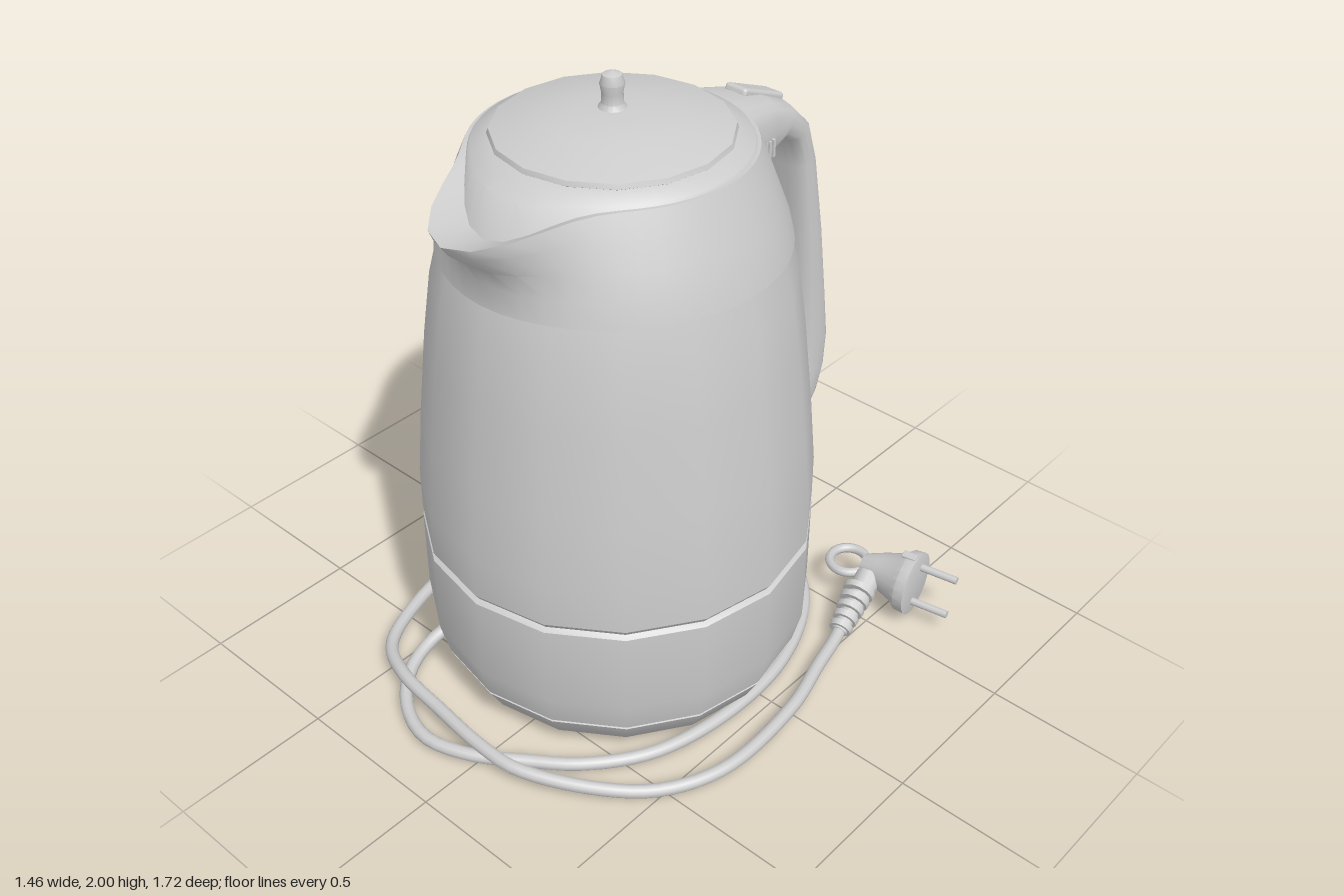
import * as THREE from 'three';
import { toCreasedNormals } from 'three/addons/utils/BufferGeometryUtils.js';
import { RoundedBoxGeometry } from 'three/addons/geometries/RoundedBoxGeometry.js';

const AX = -0.07, AZ = 0.085; // kettle axis

export function createModel() {
  const model = new THREE.Group();
  model.name = 'electricKettle';
  const grey = new THREE.MeshStandardMaterial({ color: 0xcccccc });
  grey.name = 'light grey';

  const add = (name, geometry, parent = model) => {
    const mesh = new THREE.Mesh(geometry, grey);
    mesh.name = name;
    parent.add(mesh);
    return mesh;
  };
  const lathe = (pts, segments = 16) => toCreasedNormals(
    new THREE.LatheGeometry(pts.map(p => new THREE.Vector2(...p)), segments), 0.6);

  // Skin a stack of closed rings of Vector3
  const loft = (rings) => {
    const n = rings[0].length, index = [];
    for (let i = 0; i < rings.length - 1; i++) {
      for (let j = 0; j < n; j++) {
        const k = (j + 1) % n;
        const a = i * n + j, b = i * n + k, c = b + n, d = a + n;
        index.push(a, b, d, c, d, b);
      }
    }
    const g = new THREE.BufferGeometry().setFromPoints(rings.flat());
    g.setIndex(index);
    g.computeVertexNormals();
    return g;
  };

  // Rod between two points
  const rod = (name, from, to, r0, r1 = r0, parent = model, sides = 12) => {
    const a = new THREE.Vector3(...from), b = new THREE.Vector3(...to);
    const mesh = add(name, new THREE.CylinderGeometry(r1, r0, a.distanceTo(b), sides), parent);
    mesh.position.copy(a).lerp(b, 0.5);
    mesh.quaternion.setFromUnitVectors(new THREE.Vector3(0, 1, 0), b.sub(a).normalize());
    return mesh;
  };

  // Round parts of the kettle
  const kettle = new THREE.Group();
  kettle.name = 'kettleBody';
  kettle.position.set(AX, 0, AZ);
  model.add(kettle);
  add('basePlate', lathe([[0, 0.04], [0.49, 0.04], [0.53, 0.065], [0.575, 0.145], [0.56, 0.15]]), kettle);
  add('lowerBand', lathe([[0.56, 0.15], [0.578, 0.155], [0.605, 0.26], [0.605, 0.53], [0.59, 0.54]]), kettle);
  add('vessel', lathe([[0.59, 0.54], [0.604, 0.56], [0.603, 0.7], [0.583, 0.92], [0.552, 1.2],
    [0.523, 1.4], [0.49, 1.53]]), kettle);
  add('lid', lathe([[0.3, 1.8], [0.34, 1.828], [0.335, 1.842], [0.2, 1.883], [0.1, 1.896], [0, 1.897]]), kettle);
  add('lidKnob', lathe([[0.045, 1.89], [0.031, 1.91], [0.03, 1.94], [0.035, 1.965], [0.027, 1.99], [0, 2]]), kettle);

  // Collar with pouring spout: [height, radius, spout reach, spout drop]
  const collarRings = [[1.505, 0.47, 0, 0], [1.51, 0.503, 0.01, 0], [1.58, 0.486, 0.025, 0],
    [1.65, 0.46, 0.08, 0.01], [1.73, 0.43, 0.18, 0.025], [1.8, 0.4, 0.23, 0.065],
    [1.8, 0.39, 0.1, 0.1], [1.808, 0.385, 0.04, 0.01], [1.828, 0.33, 0, 0]];
  add('spoutCollar', toCreasedNormals(loft(collarRings.map(([y, r, reach, drop]) =>
    Array.from({ length: 48 }, (_, j) => {
      const t = j / 48 * Math.PI * 2;
      const off = Math.min(t, Math.PI * 2 - t);
      const g = Math.exp(-((off / 0.4) ** 2));
      const R = r + reach * g;
      return new THREE.Vector3(R * Math.sin(t), y - drop * g, R * Math.cos(t));
    }))), 0.7), kettle);

  // Raised spine on the back of the vessel, with its long edges sunk in
  const spine = new THREE.LatheGeometry([[0.635, 0.53], [0.632, 0.66], [0.615, 0.85], [0.578, 1.2], [0.53, 1.53]]
    .map(p => new THREE.Vector2(...p)), 10, Math.PI - 0.5, 1);
  const sp = spine.attributes.position;
  for (let i = 0; i < sp.count; i++) {
    const x = sp.getX(i), z = sp.getZ(i);
    const edge = Math.abs(Math.atan2(x, -z)) / 0.5;
    const k = edge > 0.99 ? 0.92 : 1 - 0.02 * edge;
    sp.setX(i, x * k);
    sp.setZ(i, z * k);
  }
  spine.computeVertexNormals();
  add('handleSpine', spine, kettle);

  // Feet
  for (let i = 0; i < 4; i++) {
    const a = Math.PI / 4 + i * Math.PI / 2;
    const foot = add('foot', new THREE.SphereGeometry(0.024, 10, 8), kettle);
    foot.position.set(0.46 * Math.sin(a), 0.026, 0.46 * Math.cos(a));
  }

  // Handle: [outer z, outer y, inner z, inner y, half width]
  const stations = [
    [-0.2, 1.805, -0.25, 1.53, 0.19], [-0.34, 1.785, -0.39, 1.53, 0.15], [-0.5, 1.74, -0.48, 1.545, 0.117],
    [-0.6, 1.69, -0.54, 1.585, 0.11], [-0.68, 1.61, -0.6, 1.56, 0.11], [-0.725, 1.48, -0.63, 1.46, 0.11],
    [-0.785, 1.2, -0.665, 1.2, 0.11], [-0.83, 0.93, -0.69, 0.95, 0.11], [-0.857, 0.78, -0.69, 0.76, 0.11],
    [-0.85, 0.65, -0.68, 0.69, 0.11], [-0.82, 0.55, -0.65, 0.65, 0.11], [-0.75, 0.465, -0.6, 0.635, 0.115],
    [-0.64, 0.42, -0.555, 0.625, 0.135], [-0.555, 0.34, -0.49, 0.6, 0.19], [-0.42, 0.2, -0.4, 0.57, 0.24]];
  const squarish = v => Math.sign(v) * Math.abs(v) ** 0.7;
  add('handle', loft(stations.map(([oz, oy, iz, iy, w]) => Array.from({ length: 20 }, (_, j) => {
    const t = j / 20 * Math.PI * 2, c = squarish(Math.cos(t)) / 2;
    return new THREE.Vector3(AX + w * squarish(Math.sin(t)),
      (oy + iy) / 2 + (oy - iy) * c, (oz + iz) / 2 + (oz - iz) * c);
  }))));

  // Lid release button and side ribs on the handle
  const button = add('releaseButton', new RoundedBoxGeometry(0.08, 0.03, 0.2, 2, 0.012));
  button.position.set(AX, 1.726, -0.52);
  button.rotation.x = -0.4;
  for (const side of [-1, 1]) {
    for (let i = 0; i < 3; i++) {
      const rib = add('gripRib', new THREE.BoxGeometry(0.02, 0.055, 0.01));
      rib.position.set(AX + side * 0.127, 1.615, -0.415 - i * 0.018);
    }
  }

  // Power switch lever under the handle
  const lever = add('switchLever', new THREE.CapsuleGeometry(0.021, 0.22, 4, 10));
  lever.position.set(AX, 0.27, -0.6);
  lever.rotation.x = -Math.PI / 2 + 0.2;

  // Power cord, coiled once around the kettle
  const path = [[0.48, 0.06, -0.4], [0.5, 0.045, -0.33], [0.53, 0.04, -0.2], [0.58, 0.035, 0], [0.585, 0.03, 0.33],
    [0.5, 0.03, 0.52], [0.37, 0.045, 0.65], [0.15, 0.065, 0.77], [0, 0.07, 0.78], [-0.2, 0.07, 0.76],
    [-0.4, 0.065, 0.73], [-0.55, 0.04, 0.65], [-0.65, 0.03, 0.45], [-0.7, 0.03, 0.2], [-0.71, 0.03, 0.05],
    [-0.67, 0.03, -0.12], [-0.6, 0.03, -0.32], [-0.45, 0.03, -0.53], [-0.3, 0.03, -0.65], [-0.18, 0.03, -0.68],
    [0, 0.03, -0.66], [0.12, 0.025, -0.58], [0.3, 0.022, -0.42], [0.42, 0.022, -0.15], [0.44, 0.022, 0.15],
    [0.38, 0.022, 0.42], [0.25, 0.022, 0.6], [0.12, 0.022, 0.7], [-0.03, 0.022, 0.8], [-0.18, 0.022, 0.84],
    [-0.32, 0.025, 0.79], [-0.42, 0.04, 0.68], [-0.45, 0.065, 0.55], [-0.42, 0.1, 0.45]];
  const curve = new THREE.CatmullRomCurve3(path.map(p => new THREE.Vector3(...p)));
  add('powerCord', new THREE.TubeGeometry(curve, 160, 0.021, 10));

  // Plug with pull ring and two pins
  const plug = new THREE.Group();
  plug.name = 'plug';
  plug.position.set(0.59, 0.128, -0.635);
  plug.rotation.y = 0.17;
  model.add(plug);
  add('plugBody', lathe([[0, -0.2], [0.035, -0.19], [0.06, -0.13], [0.085, -0.06], [0.105, -0.035],
    [0.108, 0], [0.09, 0.005], [0, 0.005]], 20).rotateZ(-Math.PI / 2), plug);
  const ring = add('pullRing', new THREE.TorusGeometry(0.063, 0.016, 8, 24).rotateX(Math.PI / 2), plug);
  ring.position.set(-0.245, -0.01, 0);
  for (const s of [-1, 1]) {
    rod('plugPin', [0, s * 0.052, -s * 0.028], [0.13, s * 0.052, -s * 0.028], 0.013, 0.013, plug);
    const notch = add('groundContact', new RoundedBoxGeometry(0.05, 0.012, 0.03, 1, 0.004), plug);
    notch.position.set(-0.03, s * 0.105, 0);
  }

  // Ribbed strain relief
  const p0 = new THREE.Vector3(0.455, 0.11, -0.52), p1 = new THREE.Vector3(0.492, 0.048, -0.355);
  rod('strainReliefCore', [0.45, 0.118, -0.57], p1.toArray(), 0.045, 0.026);
  for (let i = 0; i < 5; i++) {
    const a = p0.clone().lerp(p1, i / 5 + 0.05), b = p0.clone().lerp(p1, i / 5 + 0.16);
    rod('strainReliefRib', a.toArray(), b.toArray(), 0.055 - i * 0.004, 0.053 - i * 0.004);
  }
  return model;
}
